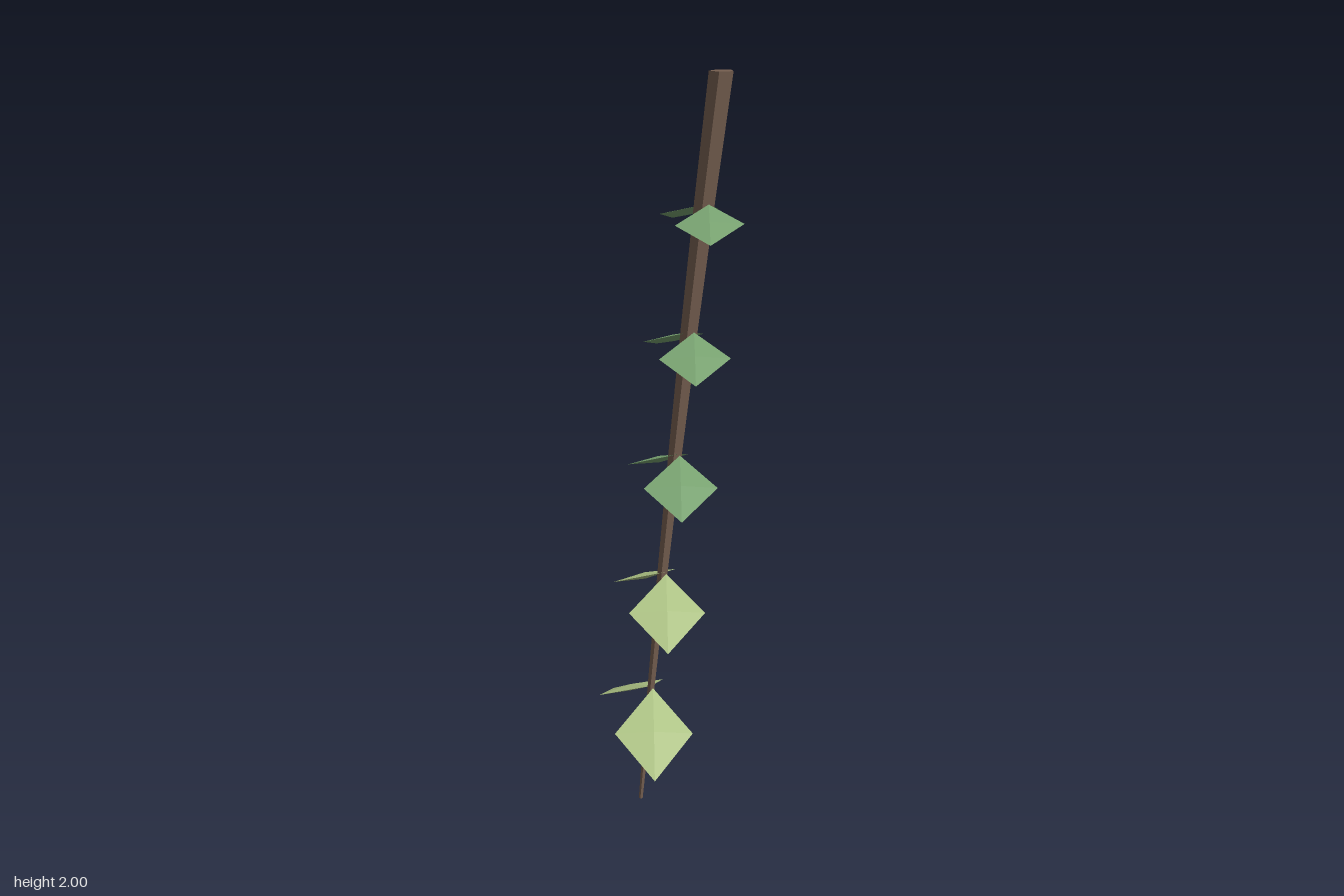
import * as THREE from 'three';

const flat = (name, color) => {
  const m = new THREE.MeshStandardMaterial({ color, flatShading: true });
  m.name = name;
  return m;
};

// Five-sided stem, thin at the foot, leaning sideways and bending backwards
function stemGeometry() {
  const geo = new THREE.CylinderGeometry(0.034, 0.006, 2, 5, 6, false, Math.PI / 4);
  geo.translate(0, 1, 0);
  const p = geo.attributes.position;
  for (let i = 0; i < p.count; i++) {
    const t = p.getY(i) / 2;
    p.setX(i, p.getX(i) - 0.1 + 0.257 * t);
    p.setZ(i, p.getZ(i) + 0.04 - 0.15 * (2 * t - t * t));
  }
  geo.computeVertexNormals();
  return geo;
}

// Flattened four-cornered leaf: "along" runs base to tip, "across" side to side
function leafGeometry(center, along, across) {
  const normal = along.clone().cross(across).normalize().multiplyScalar(0.009);
  const geo = new THREE.OctahedronGeometry(1);
  geo.applyMatrix4(new THREE.Matrix4().makeBasis(across, normal, along).setPosition(center));
  geo.computeVertexNormals();
  return geo;
}

// Lowest and highest leaf on each side; those between are blended
const V = (x, y, z) => new THREE.Vector3(x, y, z);
const sides = {
  front: {
    center: [V(-0.085, 0.263, 0.148), V(0.095, 1.63, 0.016)],
    along: [V(-0.027, -0.068, 0.132), V(-0.022, -0.035, 0.095)],
    across: [V(0.105, -0.003, 0.018), V(0.087, 0.002, 0.019)],
  },
  back: {
    center: [V(-0.09, 0.265, -0.128), V(0.091, 1.63, -0.188)],
    along: [V(-0.03, -0.065, -0.1275), V(-0.023, -0.033, -0.0945)],
    across: [V(0.1, 0, -0.027), V(0.086, 0, -0.0215)],
  },
};

export function createModel() {
  const bark = flat('brown bark', 0x765f50);
  const young = flat('pale green leaf', 0xb1c787);
  const mature = flat('green leaf', 0x7ba673);

  const model = new THREE.Group();
  model.name = 'hangingVine';

  const stem = new THREE.Mesh(stemGeometry(), bark);
  stem.name = 'stem';
  model.add(stem);

  // Five pairs of leaves, the two lowest pairs paler
  for (const [side, ends] of Object.entries(sides)) {
    for (let i = 0; i < 5; i++) {
      const mix = ([a, b]) => a.clone().lerp(b, i / 4);
      const geo = leafGeometry(mix(ends.center), mix(ends.along), mix(ends.across));
      const leaf = new THREE.Mesh(geo, i < 2 ? young : mature);
      leaf.name = `${side}Leaf${i + 1}`;
      model.add(leaf);
    }
  }
  return model;
}
